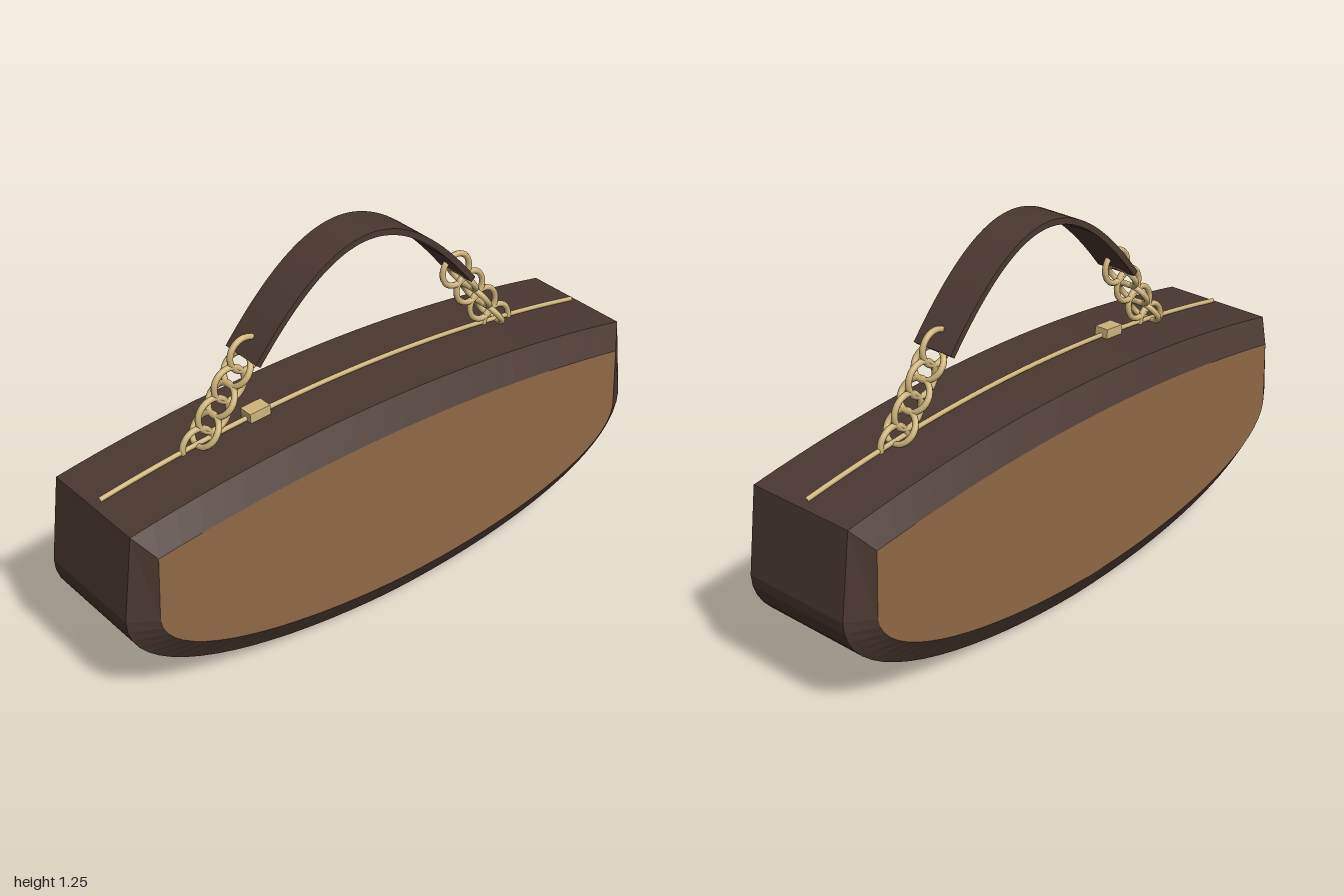
import * as THREE from 'three';

const leather = new THREE.MeshStandardMaterial({ color: 0x4a3830, flatShading: true });
const strapLeather = new THREE.MeshStandardMaterial({ color: 0x4a3830 });
const tan = new THREE.MeshStandardMaterial({ color: 0x8f6846 });
const gold = new THREE.MeshStandardMaterial({ color: 0xcfb47c });

const V2 = (x, y) => new THREE.Vector2(x, y);

function add(parent, name, geometry, material) {
  const mesh = new THREE.Mesh(geometry, material);
  mesh.name = name;
  parent.add(mesh);
  return mesh;
}

// Closed bag outline: curved bottom, leaning sides, gently arched top
function outline(bottomCurve, cornerX, cornerY, topY) {
  const half = bottomCurve.getPoints(18);
  const steps = 12;
  for (let i = 0; i <= steps; i++) {
    const u = 1 - i / steps;
    half.push(V2(cornerX * u, topY - (topY - cornerY) * u * u));
  }
  const mirrored = half.slice(1, -1).reverse().map(p => V2(-p.x, p.y));
  return half.concat(mirrored);
}

// Skin between closed loops ordered from back to front
function loft(sections) {
  const n = sections[0].points.length;
  const positions = [], index = [];
  for (const s of sections) for (const p of s.points) positions.push(p.x, p.y, s.z);
  for (let k = 0; k < sections.length - 1; k++) {
    for (let i = 0; i < n; i++) {
      const a = k * n + i, b = k * n + (i + 1) % n;
      index.push(a, b, b + n, a, b + n, a + n);
    }
  }
  const g = new THREE.BufferGeometry();
  g.setAttribute('position', new THREE.Float32BufferAttribute(positions, 3));
  g.setIndex(index);
  g.computeVertexNormals();
  return g;
}

// Arched flat strap, extruded across the bag
function strapGeometry() {
  const curve = new THREE.CubicBezierCurve(V2(-0.42, 0.95), V2(-0.11, 1.335), V2(0.11, 1.335), V2(0.42, 0.95));
  const outer = [], inner = [];
  for (let i = 0; i <= 40; i++) {
    const p = curve.getPoint(i / 40), t = curve.getTangent(i / 40);
    const normal = V2(-t.y, t.x).multiplyScalar(0.01);
    outer.push(p.clone().add(normal));
    inner.push(p.clone().sub(normal));
  }
  const shape = new THREE.Shape(outer.concat(inner.reverse()));
  return new THREE.ExtrudeGeometry(shape, { depth: 0.15, bevelEnabled: false }).translate(0, 0, -0.075);
}

// Links alternate between facing forward and lying across the chain
function chain(side) {
  const group = new THREE.Group();
  const top = V2(0.412, 0.957), bottom = V2(0.594, 0.712);
  const lean = Math.atan2(bottom.x - top.x, top.y - bottom.y);
  const facing = new THREE.TorusGeometry(0.055, 0.01, 8, 28);
  const across = new THREE.TorusGeometry(0.053, 0.01, 8, 28).rotateY(Math.PI / 2);
  for (let i = 0; i < 7; i++) {
    const p = top.clone().lerp(bottom, i / 6);
    const link = add(group, 'chainLink', i % 2 ? across : facing, gold);
    link.position.set(side * p.x, p.y, 0);
    link.rotation.z = side * lean;
  }
  return group;
}

export function createModel() {
  const bag = new THREE.Group();
  bag.name = 'handbag';

  // Body with bevelled front and back rims
  const outer = outline(new THREE.CubicBezierCurve(V2(0, 0), V2(0.5, 0.005), V2(1, 0.13), V2(1, 0.37)), 0.965, 0.655, 0.742);
  const inner = outline(new THREE.CubicBezierCurve(V2(0, 0.09), V2(0.42, 0.092), V2(0.9, 0.19), V2(0.917, 0.37)), 0.91, 0.588, 0.658);
  add(bag, 'body', loft([
    { points: inner, z: -0.25 }, { points: outer, z: -0.195 },
    { points: outer, z: 0.195 }, { points: inner, z: 0.25 },
  ]), leather);

  // Tan panels on both faces
  const panel = new THREE.ShapeGeometry(new THREE.Shape(inner));
  add(bag, 'frontPanel', panel, tan).position.z = 0.25;
  const back = add(bag, 'backPanel', panel, tan);
  back.position.z = -0.25;
  back.rotation.y = Math.PI;

  // Zipper along the arched top, with its slider
  const zipPoints = [];
  for (let i = -10; i <= 10; i++) {
    const u = i / 10;
    zipPoints.push(new THREE.Vector3(0.94 * u, 0.75 - 0.083 * u * u, 0));
  }
  add(bag, 'zipper', new THREE.TubeGeometry(new THREE.CatmullRomCurve3(zipPoints), 48, 0.008, 8), gold);
  const slider = add(bag, 'zipperSlider', new THREE.BoxGeometry(0.075, 0.032, 0.05), gold);
  slider.position.set(-0.38, 0.746, 0);
  slider.rotation.z = 0.07;

  // Handle: strap held by a chain at each end
  add(bag, 'handleStrap', strapGeometry(), strapLeather);
  for (const side of [-1, 1]) {
    const links = chain(side);
    links.name = side > 0 ? 'leftChain' : 'rightChain';
    bag.add(links);
  }
  return bag;
}
